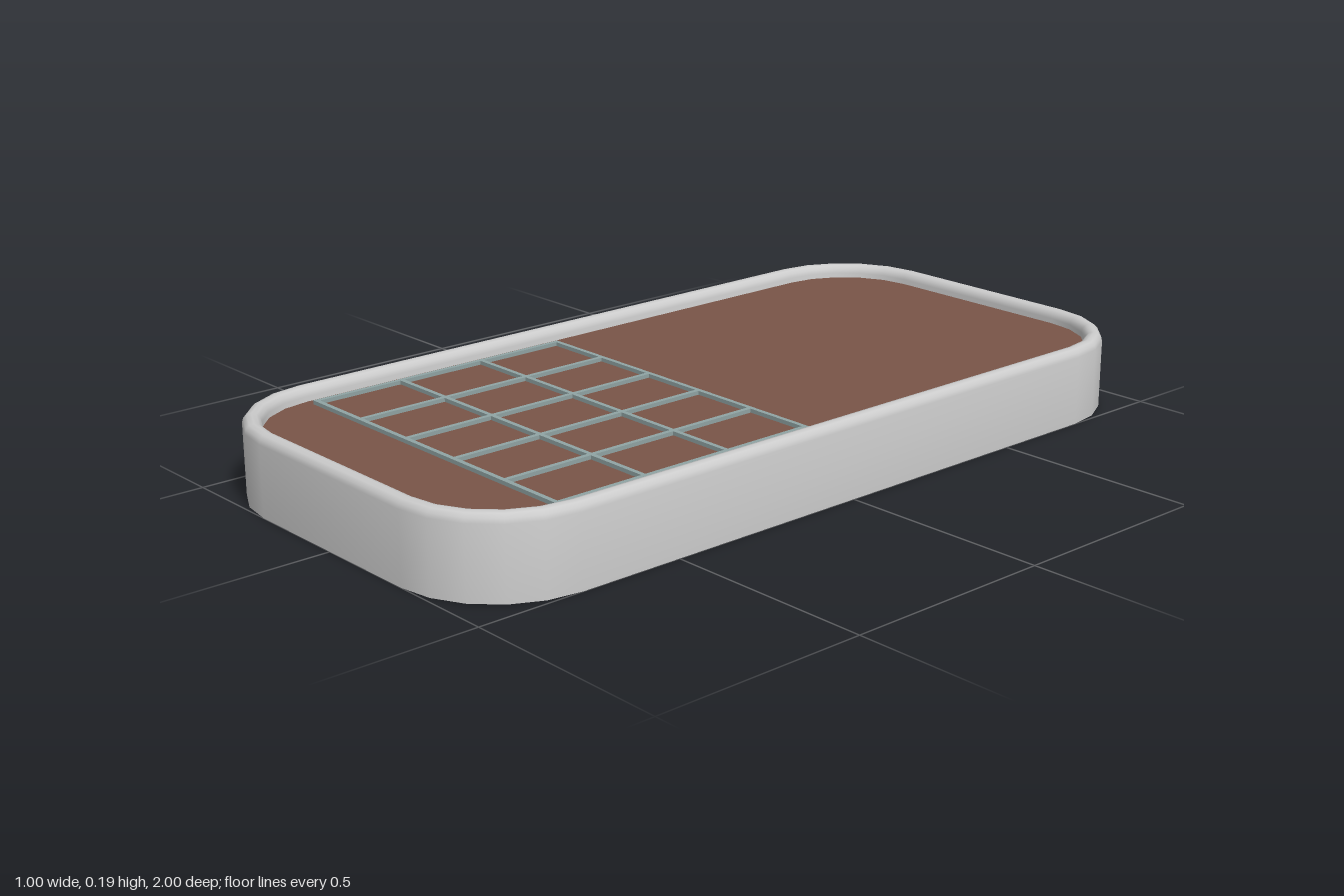
import * as THREE from 'three';
import { toCreasedNormals } from 'three/addons/utils/BufferGeometryUtils.js';

const HALF_W = 0.5, HALF_L = 1, RADIUS = 0.25, HEIGHT = 0.185, WALL = 0.042, CORNER_STEPS = 5;

// Rounded rectangle in x/z, moved inwards by inset
function outline(inset) {
  const pts = [], r = RADIUS - inset;
  const cx = HALF_W - RADIUS, cz = HALF_L - RADIUS;
  [[1, 1], [-1, 1], [-1, -1], [1, -1]].forEach(([sx, sz], q) => {
    for (let i = 0; i <= CORNER_STEPS; i++) {
      const a = (q + i / CORNER_STEPS) * Math.PI / 2;
      pts.push([sx * cx + r * Math.cos(a), sz * cz + r * Math.sin(a)]);
    }
  });
  return pts;
}

// Closed wall section swept around the outline, with a half-round top
function wallGeometry() {
  const profile = [[0, 0]], half = WALL / 2;
  for (let i = 0; i <= 6; i++) {
    const a = Math.PI * i / 6;
    profile.push([half - half * Math.cos(a), HEIGHT - half + half * Math.sin(a)]);
  }
  profile.push([WALL, 0], [0, 0]);

  const pos = [], idx = [];
  const n = outline(0).length;
  for (const [inset, y] of profile) {
    for (const [x, z] of outline(inset)) pos.push(x, y, z);
  }
  for (let v = 0; v < profile.length - 1; v++) {
    for (let u = 0; u < n; u++) {
      const a = v * n + u, b = v * n + (u + 1) % n;
      idx.push(a, a + n, b, b, a + n, b + n);
    }
  }
  const geo = new THREE.BufferGeometry();
  geo.setAttribute('position', new THREE.Float32BufferAttribute(pos, 3));
  geo.setIndex(idx);
  return toCreasedNormals(geo, 0.8);
}

export function createModel() {
  const model = new THREE.Group();
  const grey = new THREE.MeshStandardMaterial({ color: 0xcccccc });
  const brown = new THREE.MeshStandardMaterial({ color: 0x795548, side: THREE.DoubleSide });
  const barMat = new THREE.MeshStandardMaterial({ color: 0x90a4a4 });

  // Open-bottomed surrounding wall
  const wall = new THREE.Mesh(wallGeometry(), grey);
  wall.name = 'wall';
  model.add(wall);

  // Flat panel just below the rim
  const shape = new THREE.Shape(outline(WALL - 0.004).map(([x, z]) => new THREE.Vector2(x, z)));
  const panel = new THREE.Mesh(new THREE.ShapeGeometry(shape).rotateX(-Math.PI / 2), brown);
  panel.position.y = 0.152;
  panel.name = 'panel';
  model.add(panel);

  // Grid of thin bars, five cells by three, passing through the panel
  const grid = new THREE.Group();
  grid.name = 'grid';
  const x0 = -0.428, x1 = 0.419, z0 = 0.069, z1 = 0.745, t = 0.011;
  const bar = (name, w, d, x, z) => {
    const m = new THREE.Mesh(new THREE.BoxGeometry(w, 0.016, d), barMat);
    m.position.set(x, 0.153, z);
    m.name = name;
    grid.add(m);
  };
  for (let i = 0; i <= 5; i++) {
    bar('lengthBar', t, z1 - z0 + t, x0 + (x1 - x0) * i / 5, (z0 + z1) / 2);
  }
  for (let i = 0; i <= 3; i++) {
    bar('crossBar', x1 - x0 + t, t, (x0 + x1) / 2, z0 + (z1 - z0) * i / 3);
  }
  model.add(grid);
  return model;
}
